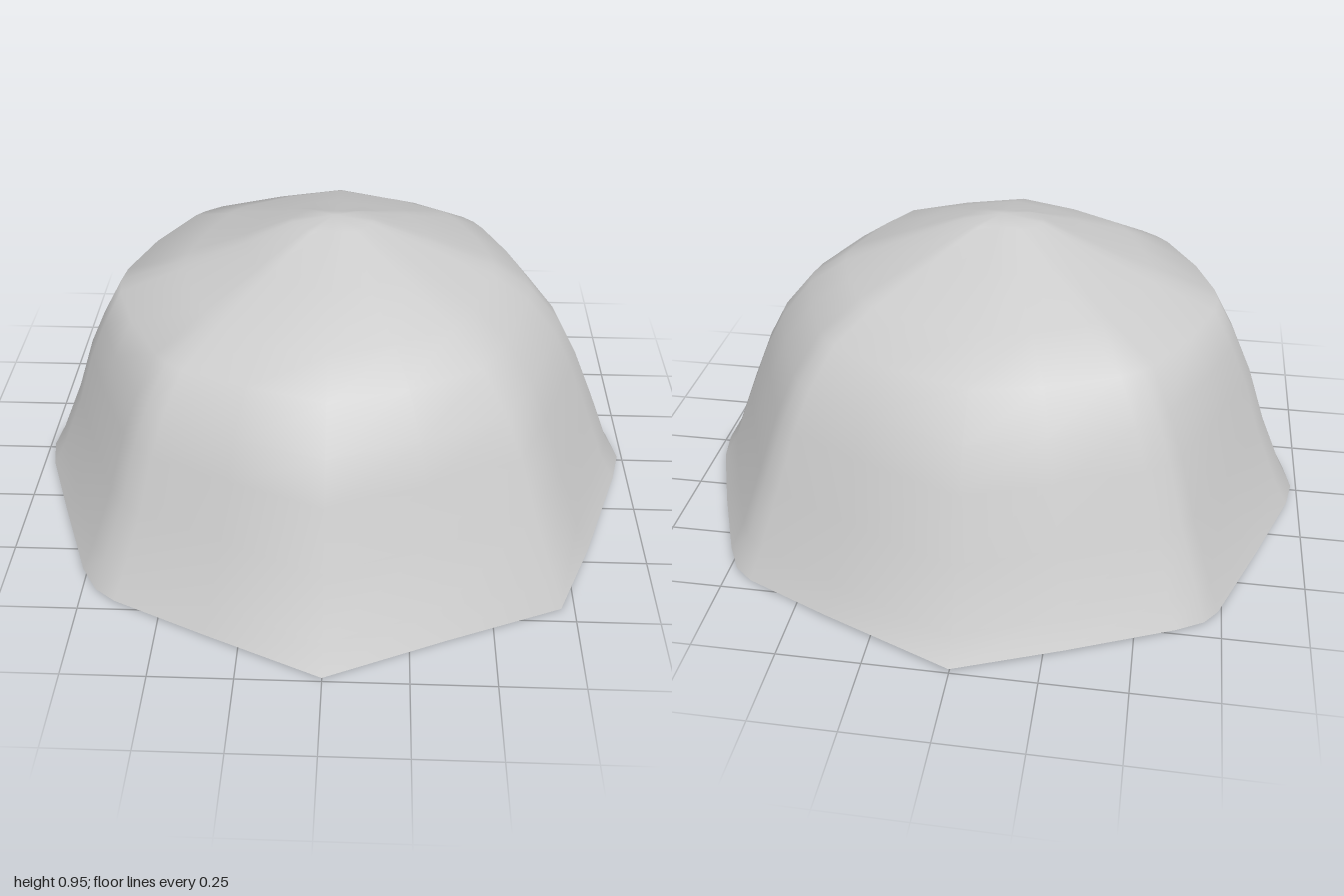
import * as THREE from 'three';

// Rim outline seen from above (x, z): a worn octagon with some blunted corners
const RIM = [
  [0, -1], [0.4, -0.84], [0.67, -0.71], [0.73, -0.66], [0.77, -0.59], [0.87, -0.35],
  [0.96, -0.11], [0.98, 0], [0.95, 0.11], [0.82, 0.46], [0.71, 0.7], [0.36, 0.85],
  [0, 1], [-0.35, 0.855], [-0.64, 0.73], [-0.71, 0.67], [-0.76, 0.6], [-0.87, 0.33],
  [-0.96, 0.1], [-0.98, 0], [-0.96, -0.1], [-0.86, -0.36], [-0.74, -0.64], [-0.7, -0.69],
  [-0.62, -0.75], [-0.31, -0.88],
];

// Height, then reach along +x, -x, +z, -z
const LEVELS = [
  [0.015, 0.98, 0.98, 1.0, 1.0],
  [0.1, 0.93, 0.935, 0.95, 0.95],
  [0.28, 0.86, 0.86, 0.855, 0.87],
  [0.46, 0.785, 0.8, 0.785, 0.795],
  [0.58, 0.72, 0.745, 0.72, 0.73],
  [0.7, 0.62, 0.68, 0.62, 0.635],
  [0.78, 0.5, 0.47, 0.51, 0.48],
  [0.86, 0.3, 0.28, 0.3, 0.26],
  [0.93, 0.12, 0.13, 0.07, 0.06],
];
const APEX = 0.95;

function domeGeometry() {
  const positions = [];
  const index = [];
  const n = RIM.length;

  LEVELS.forEach(([y, px, nx, pz, nz], level) => {
    // The octagon becomes rounder towards the crown
    const round = 0.4 * THREE.MathUtils.smoothstep(y, 0.3, 0.75);
    for (const [x, z] of RIM) {
      const r = Math.hypot(x, z);
      const wx = (x * x) / (r * r);
      const reach = wx * (x > 0 ? px : nx) / 0.98 + (1 - wx) * (z > 0 ? pz : nz);
      const circle = 0.98 * wx + (1 - wx);
      const s = reach * THREE.MathUtils.lerp(1, circle / r, round);
      // Diagonal corners dip slightly to the ground
      const dip = level === 0 && Math.abs(x * z) > 0.47 ? 0.015 : 0;
      positions.push(x * s, y - dip, z * s);
    }
  });
  const apex = positions.length / 3;
  positions.push(0, APEX, 0);

  for (let i = 0; i < n; i++) {
    const j = (i + 1) % n;
    for (let l = 0; l < LEVELS.length - 1; l++) {
      const a = l * n + i, b = l * n + j;
      index.push(a, a + n, b, b, a + n, b + n);
    }
    const top = (LEVELS.length - 1) * n;
    index.push(top + i, apex, top + j);
  }

  const geometry = new THREE.BufferGeometry();
  geometry.setAttribute('position', new THREE.Float32BufferAttribute(positions, 3));
  geometry.setIndex(index);
  geometry.computeVertexNormals();
  return geometry;
}

export function createModel() {
  const group = new THREE.Group();
  group.name = 'openDome';

  // Thin hollow shell, open underneath
  const shell = new THREE.Mesh(
    domeGeometry(),
    new THREE.MeshStandardMaterial({ color: 0xcccccc, side: THREE.DoubleSide })
  );
  shell.name = 'domeShell';
  group.add(shell);
  return group;
}
